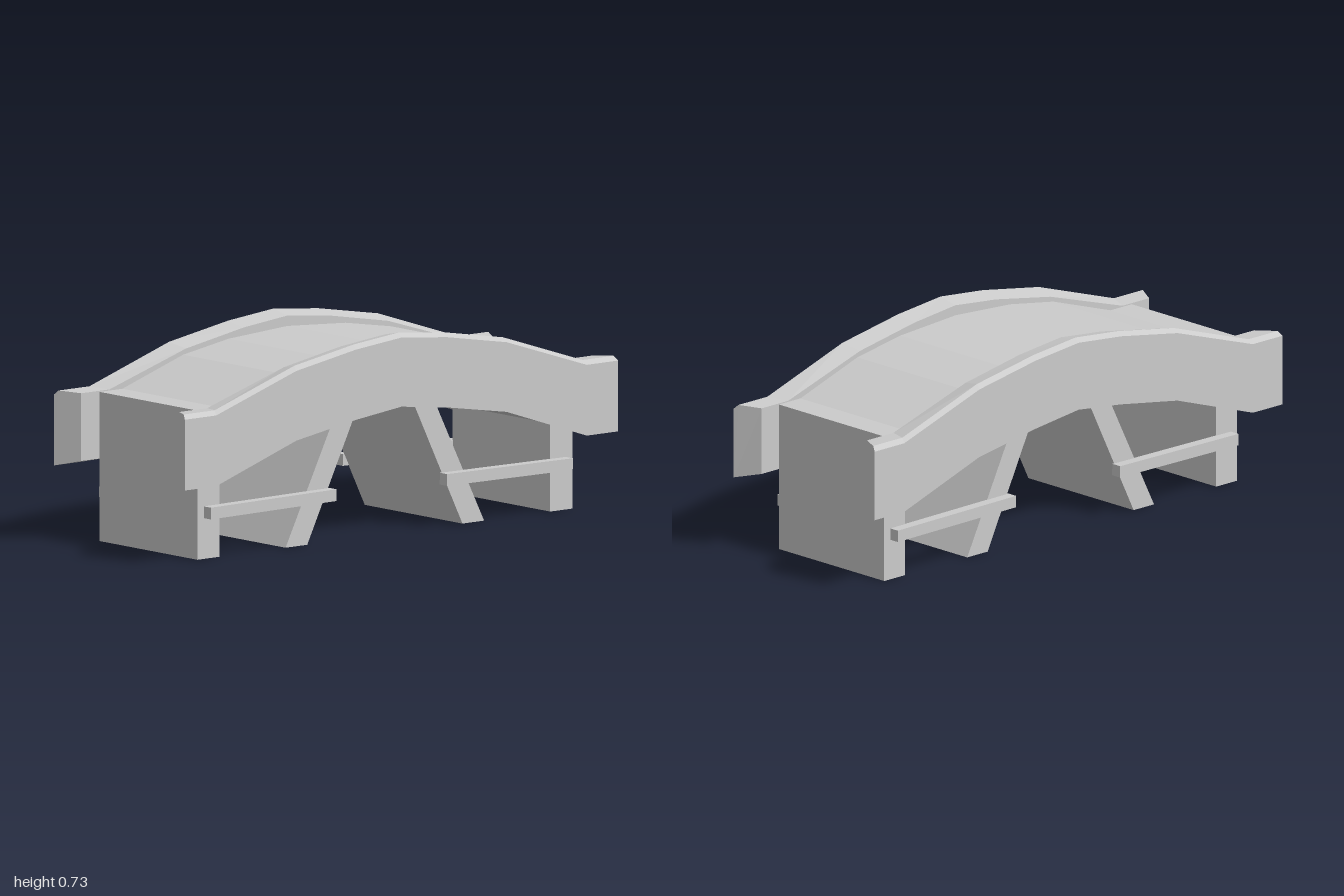
import * as THREE from 'three';

const HALF_W = 0.267; // half width of deck, piers and struts
const material = new THREE.MeshStandardMaterial({ color: 0xcccccc, flatShading: true });

function add(group, name, geometry) {
  const mesh = new THREE.Mesh(geometry, material);
  mesh.name = name;
  group.add(mesh);
  return mesh;
}

// Extrude a side outline of [z, y] points across the full width in x
function acrossWidth(points) {
  const shape = new THREE.Shape(points.map(([z, y]) => new THREE.Vector2(z, y)));
  const geo = new THREE.ExtrudeGeometry(shape, { depth: 2 * HALF_W, bevelEnabled: false });
  return geo.translate(0, 0, -HALF_W).rotateY(-Math.PI / 2);
}

// Join equal-sized rings of Vector3 into a closed solid
function loft(rings, flip) {
  const n = rings[0].length, pos = [];
  const tri = (a, b, c) => {
    for (const p of flip ? [a, c, b] : [a, b, c]) pos.push(p.x, p.y, p.z);
  };
  for (let i = 0; i < rings.length - 1; i++) {
    for (let j = 0; j < n; j++) {
      const k = (j + 1) % n, A = rings[i], B = rings[i + 1];
      tri(A[j], A[k], B[k]);
      tri(A[j], B[k], B[j]);
    }
  }
  const first = rings[0], last = rings[rings.length - 1];
  for (let j = 1; j < n - 1; j++) {
    tri(first[0], first[j + 1], first[j]);
    tri(last[0], last[j], last[j + 1]);
  }
  const geo = new THREE.BufferGeometry();
  geo.setAttribute('position', new THREE.Float32BufferAttribute(pos, 3));
  geo.computeVertexNormals();
  return geo;
}

// Mirror a run of [z, ...] stations (from +z to the middle) to the -z half
const mirrored = (half) => [
  ...half,
  ...half.slice(0, -1).reverse().map(([z, ...rest]) => [-z, ...rest]),
];

// Side parapet: outer z, inner z, crest y, bottom y
const parapetStations = mirrored([
  [1, 0.95, 0.542, 0.273],
  [0.855, 0.82, 0.542, 0.273],
  [0.485, 0.466, 0.662, 0.397],
  [0.21, 0.2, 0.709, 0.442],
  [0, 0, 0.73, 0.467],
]);

function parapet(side) {
  const rings = parapetStations.map(([z, inner, top, bottom], i) => {
    const zi = i > 4 ? -inner : inner;
    const end = i < 2 || i > 6;
    return [
      [0.358, bottom, z],
      [0.358, top - 0.016, z],
      [0.342, top, z + (zi - z) * 0.17],
      [HALF_W, top - (end ? 0.005 : 0.016), zi],
      [HALF_W, bottom + 0.022, zi],
    ].map(([x, y, zz]) => new THREE.Vector3(side * x, y, zz));
  });
  return loft(rings, side > 0);
}

export function createModel() {
  const bridge = new THREE.Group();
  bridge.name = 'archedBridge';

  // Arched deck slab with level ends
  const deckTop = mirrored([[0.865, 0.533], [0.76, 0.533], [0.48, 0.625], [0.27, 0.66], [0, 0.677]]);
  const deckBottom = mirrored([[0.865, 0.295], [0.82, 0.295], [0.466, 0.419], [0.2, 0.464], [0, 0.489]]);
  add(bridge, 'deck', acrossWidth([...deckTop, ...deckBottom.reverse()]));

  for (const side of [1, -1]) {
    add(bridge, side > 0 ? 'leftParapet' : 'rightParapet', parapet(side));
  }

  for (const end of [1, -1]) {
    const name = end > 0 ? 'front' : 'back';
    const outline = (pts) => acrossWidth(pts.map(([z, y]) => [z * end, y]));

    // Upright wall pier and leaning strut
    add(bridge, name + 'Pier', outline([[0.763, 0], [0.865, 0], [0.865, 0.295], [0.82, 0.295], [0.763, 0.315]]));
    add(bridge, name + 'Strut', outline([[0.358, 0], [0.458, 0], [0.225, 0.46], [0.122, 0.475]]));

    // Slightly tilted braces tying pier and strut on both sides
    for (const side of [1, -1]) {
      const brace = add(bridge, name + (side > 0 ? 'LeftBrace' : 'RightBrace'),
        new THREE.BoxGeometry(0.04, 0.042, 0.58));
      brace.position.set(side * 0.285, 0.169, end * 0.545);
      brace.rotation.x = end * 0.008;
    }
  }
  return bridge;
}
